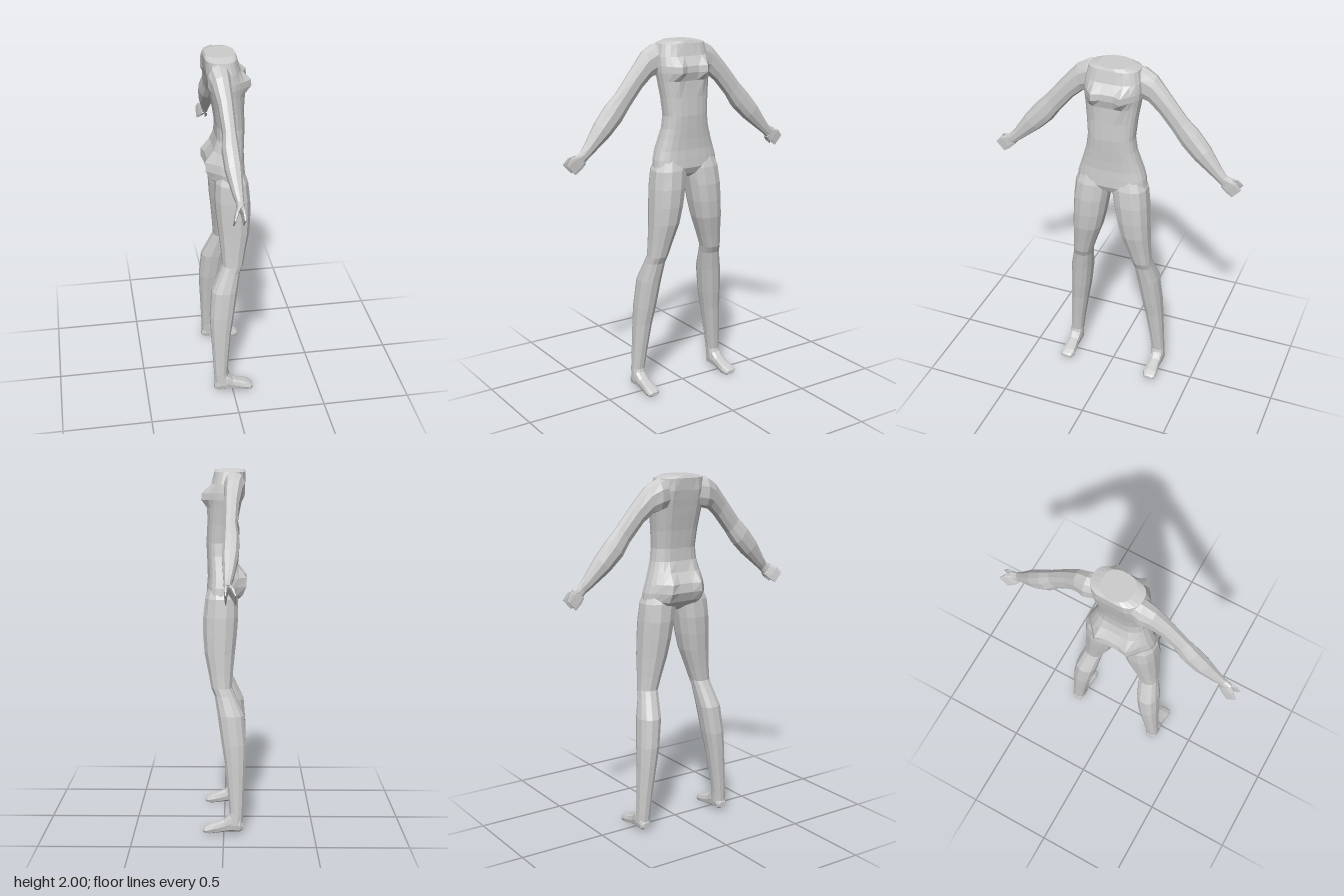
import * as THREE from 'three';

const skin = new THREE.MeshStandardMaterial({ color: 0xcccccc });
skin.name = 'plain grey';
skin.flatShading = true;

// Skin a list of rings into a closed, faceted solid that always faces outwards
function loft(name, rings) {
  const n = rings[0].length, tris = [];
  const mid = (r) => r.reduce((s, p) => s.add(p), new THREE.Vector3()).divideScalar(n);
  for (let i = 0; i < rings.length - 1; i++) {
    for (let j = 0; j < n; j++) {
      const k = (j + 1) % n;
      const a = rings[i][j], b = rings[i][k], c = rings[i + 1][k], d = rings[i + 1][j];
      tris.push([a, b, c], [a, c, d]);
    }
  }
  const first = rings[0], last = rings[rings.length - 1];
  const m0 = mid(first), m1 = mid(last);
  for (let j = 0; j < n; j++) {
    const k = (j + 1) % n;
    tris.push([m0, first[k], first[j]], [m1, last[j], last[k]]);
  }
  const volume = tris.reduce((s, [a, b, c]) => s + a.dot(b.clone().cross(c)), 0);
  const points = tris.flatMap(([a, b, c]) => (volume > 0 ? [a, b, c] : [a, c, b]));
  const geometry = new THREE.BufferGeometry().setFromPoints(points);
  geometry.computeVertexNormals();
  const mesh = new THREE.Mesh(geometry, skin);
  mesh.name = name;
  return mesh;
}

const squarish = (v, p) => Math.sign(v) * Math.abs(v) ** p;

// Call f(cos, sin) around a ring with n corners
function ring(n, p, f) {
  return Array.from({ length: n }, (_, i) => {
    const a = ((i + 0.5) / n) * Math.PI * 2;
    return f(squarish(Math.cos(a), p), squarish(Math.sin(a), p));
  });
}

// Torso: y, back x, front x, half width, bust swell, rear swell
function makeTorso() {
  const rows = [
    [2.0, -0.11, 0.05, 0.085, 0, 0],
    [1.985, -0.115, 0.056, 0.14, 0, 0.005],
    [1.92, -0.105, 0.07, 0.155, 0.005, 0.015],
    [1.87, -0.098, 0.083, 0.158, 0.05, 0.012],
    [1.835, -0.092, 0.085, 0.157, 0.05, 0.01],
    [1.79, -0.085, 0.088, 0.15, 0.012, 0.008],
    [1.7, -0.068, 0.095, 0.138, 0, 0.006],
    [1.6, -0.055, 0.1, 0.13, 0, 0.004],
    [1.53, -0.055, 0.097, 0.14, 0, 0.005],
    [1.47, -0.062, 0.094, 0.158, 0, 0.022],
    [1.41, -0.07, 0.093, 0.178, 0, 0.065],
    [1.36, -0.07, 0.097, 0.193, 0, 0.07],
    [1.31, -0.06, 0.1, 0.198, 0, 0.055],
    [1.275, -0.045, 0.085, 0.15, 0, 0.02],
    [1.25, -0.02, 0.05, 0.05, 0, 0],
  ];
  return loft('torso', rows.map(([y, back, front, half, bust, rear]) =>
    ring(22, 0.75, (c, s) => {
      const z = half * s;
      const swell = (at, wide) =>
        Math.exp(-(((Math.abs(z) - at) / wide) ** 2)) * Math.sqrt(Math.abs(c));
      const x = (front + back) / 2 + (c * (front - back)) / 2
        + (c > 0 ? bust * swell(0.075, 0.04) : -rear * swell(0.08, 0.055));
      return new THREE.Vector3(x, y, z);
    })));
}

// Leg: y, back x, front x, inner z, outer z
function makeLeg(side) {
  const rows = [
    [1.38, -0.05, 0.08, 0.02, 0.17],
    [1.3, -0.075, 0.107, 0.002, 0.207],
    [1.2, -0.08, 0.118, 0.018, 0.217],
    [1.1, -0.073, 0.118, 0.035, 0.222],
    [1.0, -0.062, 0.11, 0.058, 0.226],
    [0.88, -0.05, 0.085, 0.1, 0.231],
    [0.81, -0.045, 0.072, 0.123, 0.236],
    [0.77, -0.062, 0.054, 0.13, 0.243],
    [0.66, -0.112, 0.037, 0.142, 0.27],
    [0.5, -0.125, 0.014, 0.165, 0.285],
    [0.4, -0.122, -0.003, 0.184, 0.29],
    [0.23, -0.113, -0.021, 0.212, 0.298],
    [0.12, -0.108, -0.032, 0.227, 0.304],
    [0.05, -0.105, -0.01, 0.23, 0.308],
  ];
  return loft('leg', rows.map(([y, back, front, inner, outer]) =>
    ring(12, 0.85, (c, s) => new THREE.Vector3(
      (front + back) / 2 + (c * (front - back)) / 2,
      y,
      side * ((inner + outer) / 2 + (s * (outer - inner)) / 2)))));
}

// Foot: x, sole y, top y, inner z, outer z, from heel to toe
function makeFoot(side) {
  const rows = [
    [-0.108, 0.022, 0.055, 0.248, 0.292],
    [-0.09, 0.012, 0.085, 0.234, 0.306],
    [-0.035, 0.01, 0.11, 0.232, 0.306],
    [0.0, 0.008, 0.078, 0.234, 0.302],
    [0.04, 0.003, 0.064, 0.23, 0.304],
    [0.08, 0, 0.052, 0.226, 0.31],
    [0.105, 0.002, 0.04, 0.232, 0.308],
    [0.117, 0.01, 0.03, 0.245, 0.295],
  ];
  return loft('foot', rows.map(([x, low, high, inner, outer]) =>
    ring(10, 0.7, (c, s) => new THREE.Vector3(
      x,
      (low + high) / 2 + (c * (high - low)) / 2,
      side * ((inner + outer) / 2 + (s * (outer - inner)) / 2)))));
}

// Arm sections: upper edge z y, lower edge z y, back x, front x
function limb(name, side, rows, corners, p) {
  return loft(name, rows.map(([uz, uy, lz, ly, back, front]) =>
    ring(corners, p, (c, s) => new THREE.Vector3(
      (front + back) / 2 + (c * (front - back)) / 2,
      (uy + ly) / 2 + (s * (uy - ly)) / 2,
      side * ((uz + lz) / 2 + (s * (uz - lz)) / 2)))));
}

function makeArm(side) {
  const arm = new THREE.Group();
  arm.name = side > 0 ? 'leftArm' : 'rightArm';
  arm.add(limb('shoulderAndArm', side, [
    [0.08, 1.99, 0.1, 1.82, -0.1, 0],
    [0.155, 1.985, 0.15, 1.81, -0.115, 0.004],
    [0.22, 1.95, 0.185, 1.8, -0.1, 0],
    [0.3, 1.86, 0.245, 1.75, -0.082, 0],
    [0.4, 1.74, 0.325, 1.655, -0.073, 0],
    [0.46, 1.68, 0.375, 1.585, -0.085, 0.005],
    [0.53, 1.595, 0.45, 1.515, -0.08, 0.009],
    [0.6, 1.49, 0.555, 1.435, -0.055, 0],
    [0.63, 1.453, 0.588, 1.41, -0.043, -0.003],
    [0.668, 1.437, 0.612, 1.382, -0.045, -0.006],
  ], 10, 0.85));
  // Forked mitten hand
  arm.add(limb('fingers', side, [
    [0.655, 1.437, 0.605, 1.387, -0.032, -0.006],
    [0.69, 1.425, 0.63, 1.362, -0.022, -0.006],
    [0.718, 1.39, 0.668, 1.335, -0.018, -0.01],
  ], 8, 0.5));
  arm.add(limb('thumb', side, [
    [0.655, 1.437, 0.605, 1.387, -0.045, -0.018],
    [0.69, 1.425, 0.63, 1.362, -0.058, -0.04],
    [0.716, 1.39, 0.668, 1.335, -0.069, -0.06],
  ], 8, 0.5));
  return arm;
}

export function createModel() {
  const model = new THREE.Group();
  model.name = 'headlessFigure';
  model.add(makeTorso());
  for (const side of [1, -1]) {
    const leg = new THREE.Group();
    leg.name = side > 0 ? 'leftLeg' : 'rightLeg';
    leg.add(makeLeg(side), makeFoot(side));
    model.add(leg, makeArm(side));
  }
  return model;
}
